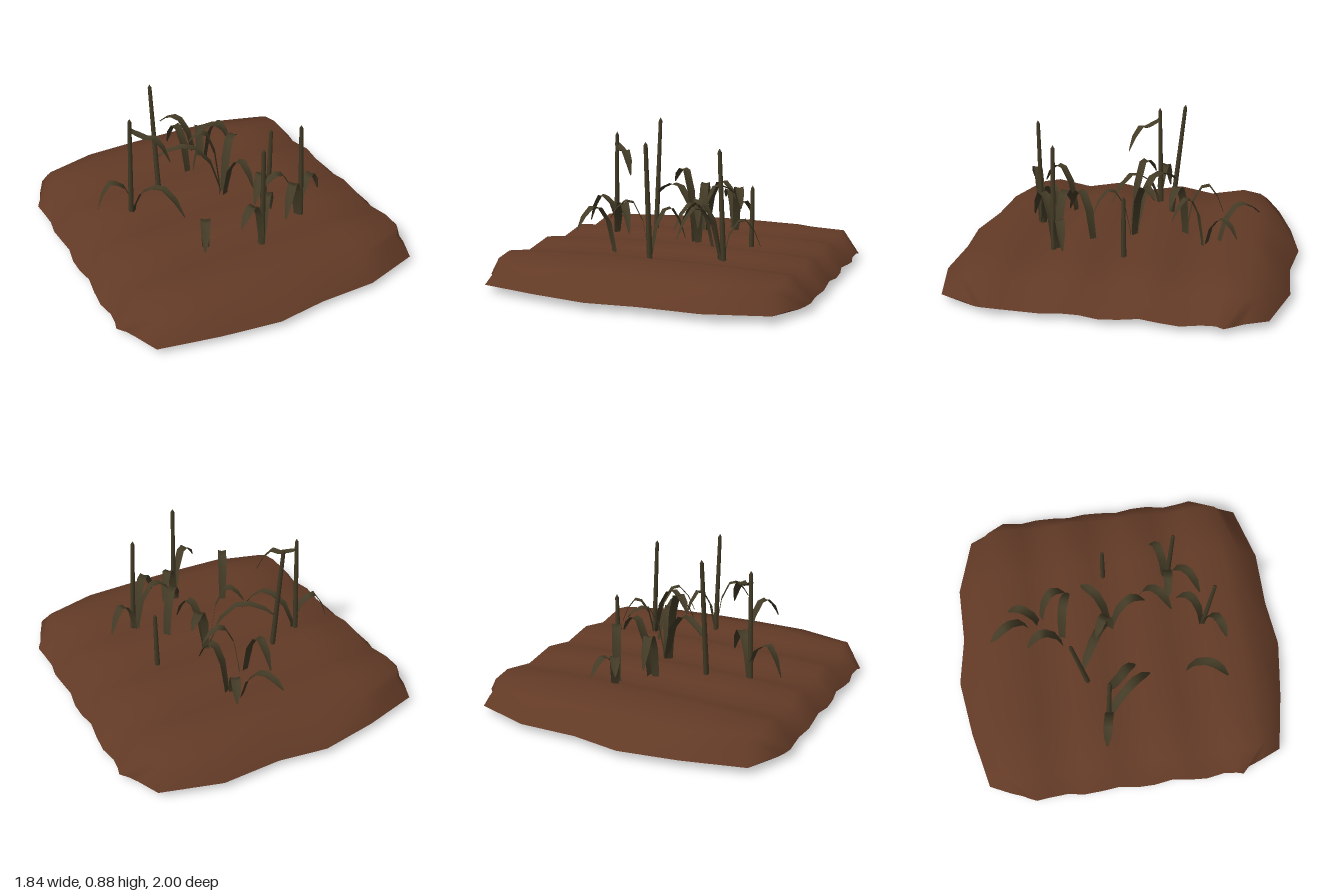
import * as THREE from 'three';

const soil = new THREE.MeshStandardMaterial({ color: 0x623a26, side: THREE.DoubleSide });
soil.name = 'soil brown';
const dry = new THREE.MeshStandardMaterial({ color: 0x433b26, side: THREE.DoubleSide });
dry.name = 'dry olive';

// Grid of points (rows of equal length) to a smooth surface
function surface(rows, material, name) {
  const n = rows[0].length, index = [];
  for (let r = 0; r < rows.length - 1; r++) {
    for (let c = 0; c < n - 1; c++) {
      const a = r * n + c, b = a + n;
      index.push(a, b, a + 1, b, b + 1, a + 1);
    }
  }
  const g = new THREE.BufferGeometry();
  g.setAttribute('position', new THREE.Float32BufferAttribute(rows.flat(2), 3));
  g.setIndex(index);
  g.computeVertexNormals();
  const mesh = new THREE.Mesh(g, material);
  mesh.name = name;
  return mesh;
}

// Open shell of soil: four furrow ridges along x, sloping rim, cut corners
function makeGround() {
  const X = [-0.915, -0.8, -0.47, -0.14, 0.14, 0.47, 0.8, 0.915];
  const rimBack = [0.75, 0.87, 0.95, 1, 0.955, 0.96, 0.86, 0.74];
  const rimFront = [0.75, 0.88, 0.95, 1, 0.97, 0.97, 0.88, 0.75];
  const Z = [-1, -0.85, -0.74];
  for (let i = -6; i <= 6; i++) Z.push(i * 0.105);
  Z.push(0.74, 0.85, 1);
  const last = Z.length - 1;
  const rows = Z.map((z, r) => X.map((x, c) => {
    const side = c === 0 || c === X.length - 1, end = r === 0 || r === last;
    const s = Math.sign(x);
    if (end) return [side ? s * 0.855 : x, 0.04, r ? rimFront[c] : -rimBack[c]];
    if (side) {
      const az = Math.abs(z);
      const zr = az > 0.6 ? Math.sign(z) * (0.6 + (az - 0.63) * 0.36) : z;
      const xr = az > 0.8 ? 0.88 : 0.91 + 0.01 * Math.cos(z * 19 + s);
      return [s * xr, 0.037 - 0.007 * Math.cos(z * 15), zr];
    }
    const ridge = 0.181 + 0.019 * Math.cos((z - 0.21) * 2 * Math.PI / 0.42);
    const y = (Math.abs(z) > 0.8 ? 0.162 : ridge) - 0.022 * (x / 0.8) ** 2;
    const corner = Math.abs(z) > 0.8 && Math.abs(x) > 0.7;
    return [corner ? s * 0.76 : x, y, corner ? Math.sign(z) * 0.79 : z];
  }));
  return surface(rows, soil, 'furrowedSoil');
}

// Folded blade: rises from the root, arches at the peak, droops to the tip
function makeLeaf([x0, z0, x1, z1, peak, tip, from = 0.02]) {
  const dx = x1 - x0, dz = z1 - z0, len = Math.hypot(dx, dz);
  const px = -dz / len, pz = dx / len;
  const rise = peak - from;
  const profile = [ // along, height, half width
    [0, from, 0.014], [0.05, from + rise * 0.4, 0.021], [0.19, from + rise * 0.77, 0.026],
    [0.42, peak - 0.01, 0.026], [0.62, peak, 0.027], [0.84, peak - (peak - tip) * 0.42, 0.022],
    [1, tip, 0.005],
  ];
  const rows = profile.map(([t, y, w]) => [-1, 0, 1].map(k => [
    x0 + dx * t + px * w * k, y - (k ? 0 : 0.008), z0 + dz * t + pz * w * k,
  ]));
  return surface(rows, dry, 'leaf');
}

// Thin upright stem with a pointed top
function makeStalk([x0, y0, z0, x1, y1, z1]) {
  const a = new THREE.Vector3(x0, y0, z0), dir = new THREE.Vector3(x1, y1, z1).sub(a);
  const h = dir.length();
  const outline = [[0, 0], [0.017, 0], [0.014, h * 0.5], [0.011, h - 0.02], [0, h]];
  const g = new THREE.LatheGeometry(outline.map(p => new THREE.Vector2(...p)), 6);
  const mesh = new THREE.Mesh(g, dry);
  mesh.position.copy(a);
  mesh.quaternion.setFromUnitVectors(new THREE.Vector3(0, 1, 0), dir.normalize());
  mesh.name = 'stalk';
  return mesh;
}

export function createModel() {
  const model = new THREE.Group();
  model.name = 'witheredCropPatch';
  model.add(makeGround());

  // Base and top of each stem
  const stalks = [
    [-0.5, 0.02, -0.12, -0.48, 0.795, -0.105],
    [-0.27, 0.04, -0.2, -0.27, 0.875, -0.29],
    [0.02, 0.015, 0.53, 0, 0.81, 0.545],
    [0.385, 0, 0.37, 0.35, 0.77, 0.365],
    [0.405, 0.03, -0.04, 0.41, 0.52, -0.04],
  ];
  // Root x, z; tip x, z; peak height; tip height; root height
  const leaves = [
    [-0.49, -0.11, -0.69, -0.15, 0.395, 0.23, 0.2],
    [-0.48, -0.105, -0.315, 0.06, 0.7, 0.56, 0.73],
    [-0.49, -0.11, -0.28, 0.16, 0.39, 0.23, 0.1],
    [-0.26, 0.38, -0.38, 0.61, 0.44, 0.32],
    [0.08, -0.04, -0.27, -0.24, 0.49, 0.41],
    [0.06, -0.03, -0.11, -0.14, 0.595, 0.51],
    [0.08, -0.04, 0.25, -0.19, 0.5, 0.45],
    [0.08, -0.03, 0.16, 0.19, 0.45, 0.3],
    [0.14, -0.53, 0, -0.76, 0.395, 0.33],
    [0.14, -0.46, 0.22, -0.65, 0.34, 0.24],
    [0.17, -0.46, 0.26, -0.29, 0.46, 0.34],
    [-0.01, -0.33, -0.05, -0.55, 0.46, 0.3],
    [0.02, -0.34, 0.23, -0.27, 0.5, 0.4],
    [0.36, 0.35, 0.555, 0.27, 0.385, 0.24],
    [0.36, 0.36, 0.17, 0.53, 0.46, 0.3],
    [0.36, 0.35, 0.12, 0.32, 0.47, 0.36],
    [0.25, 0.16, 0.08, 0.34, 0.45, 0.31],
    [0.02, 0.53, -0.17, 0.625, 0.5, 0.41],
    [0.01, 0.53, 0.16, 0.38, 0.45, 0.28],
  ];
  const plants = new THREE.Group();
  plants.name = 'witheredPlants';
  stalks.forEach(s => plants.add(makeStalk(s)));
  leaves.forEach(l => plants.add(makeLeaf(l)));
  model.add(plants);
  return model;
}
